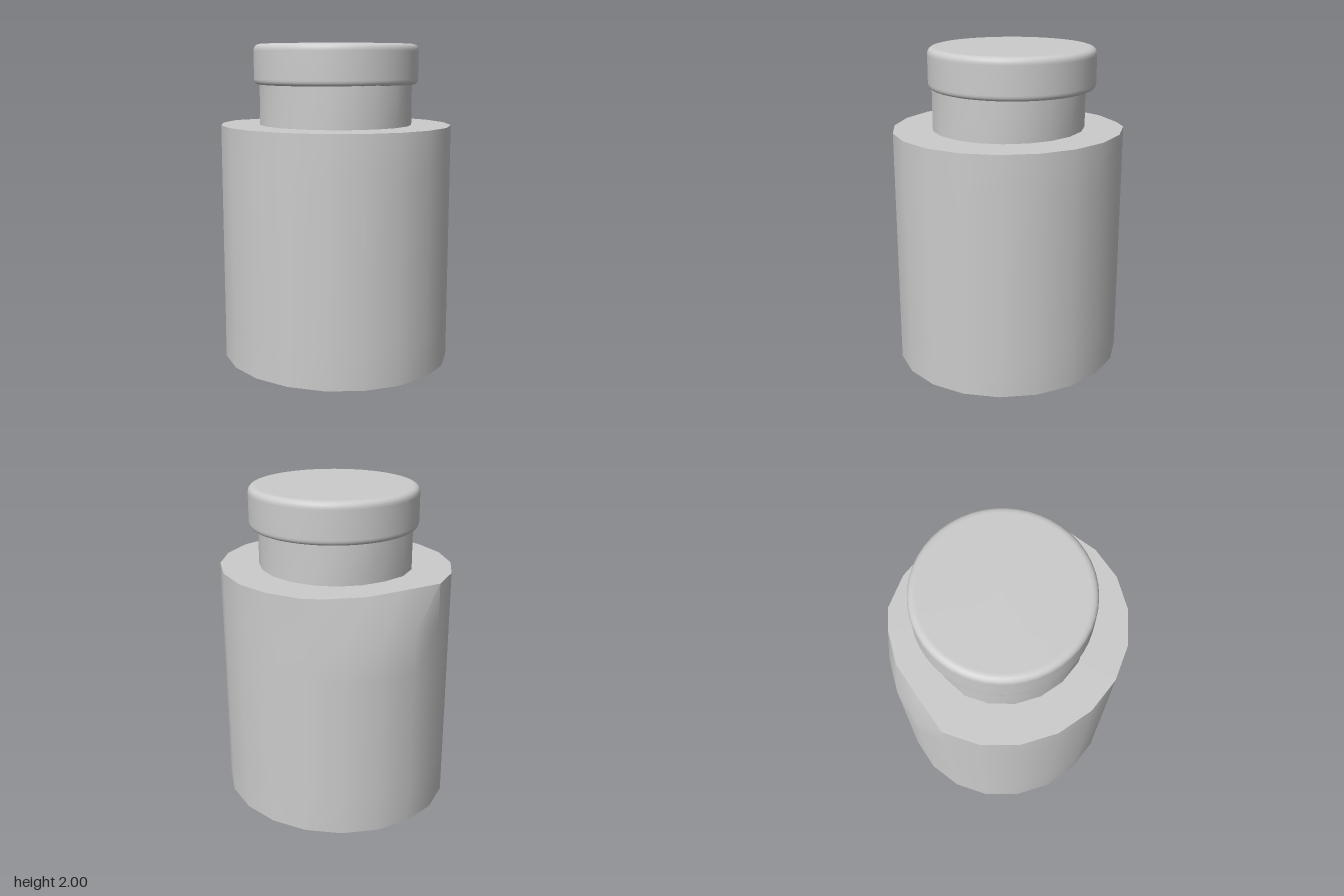
import * as THREE from 'three';
import { toCreasedNormals } from 'three/addons/utils/BufferGeometryUtils.js';

const material = new THREE.MeshStandardMaterial({ color: 0xcccccc });
const SIDES = 20;

// Elliptical 20-sided drum; one rim has three neighbouring corners on the -x side pushed by (dx, dz)
function dentedDrum(rx, rz, bottom, top, rows, rimY, dx, dz) {
  const geo = new THREE.CylinderGeometry(1, 1, top - bottom, SIDES, rows);
  geo.scale(rx, 1, rz);
  geo.translate(0, (top + bottom) / 2, 0);
  const pos = geo.attributes.position;
  for (let i = 0; i < pos.count; i++) {
    const x = pos.getX(i) / rx, z = pos.getZ(i) / rz;
    const onRim = Math.abs(pos.getY(i) - rimY) < 1e-4 && Math.hypot(x, z) > 0.9;
    const corner = Math.round(Math.atan2(x, z) / (Math.PI * 2) * SIDES + SIDES) % SIDES;
    if (onRim && corner >= 13 && corner <= 15) {
      pos.setX(i, pos.getX(i) + dx);
      pos.setZ(i, pos.getZ(i) + dz);
    }
  }
  return toCreasedNormals(geo, Math.PI / 5);
}

function add(group, name, geo) {
  const mesh = new THREE.Mesh(geo, material);
  mesh.name = name;
  group.add(mesh);
  return mesh;
}

export function createModel() {
  const group = new THREE.Group();
  group.name = 'jar';

  // Wide body with a dented shoulder
  add(group, 'body', dentedDrum(0.742, 0.706, 0, 1.5, 6, 1.5, 0.075, -0.05));

  // Neck, slightly pushed in at its foot
  add(group, 'neck', dentedDrum(0.491, 0.469, 1.5, 1.77, 1, 1.5, 0.013, -0.012));

  // Round lid with softened edges, set a little off centre
  const outline = new THREE.Path();
  outline.moveTo(0, 1.75);
  outline.lineTo(0.485, 1.75);
  outline.quadraticCurveTo(0.518, 1.75, 0.518, 1.785);
  outline.lineTo(0.518, 1.955);
  outline.quadraticCurveTo(0.518, 2, 0.47, 2);
  outline.lineTo(0, 2);
  const lid = add(group, 'lid', new THREE.LatheGeometry(outline.getPoints(6), 48));
  lid.position.set(-0.01, 0, -0.02);

  return group;
}
